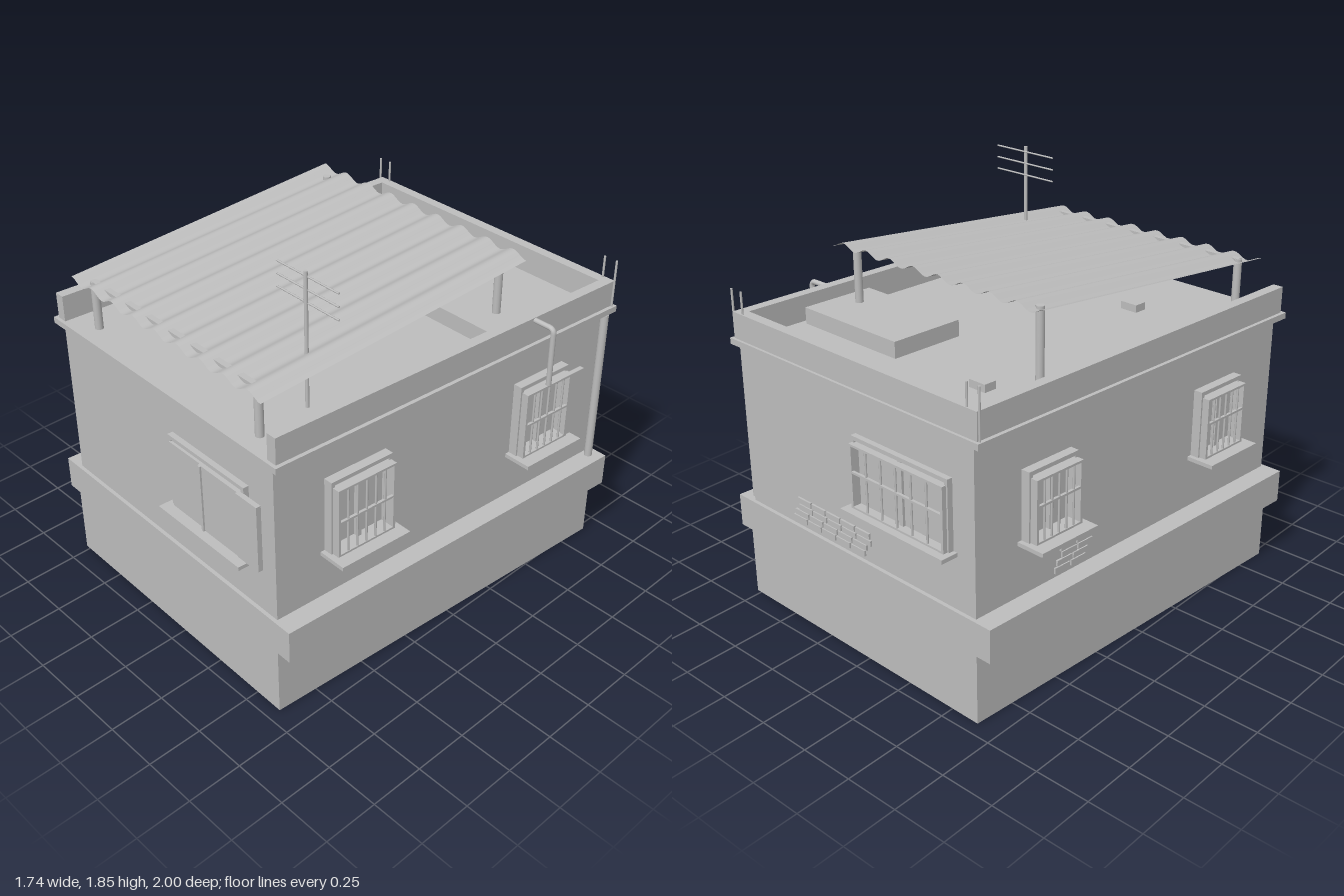
import * as THREE from 'three';

const concrete = new THREE.MeshStandardMaterial({ color: 0xbdbdbd });
concrete.name = 'concrete grey';
const sheet = concrete.clone(); // same colour, visible from both sides
sheet.name = 'sheet grey';
sheet.side = THREE.DoubleSide;

function add(parent, name, geometry, material = concrete) {
  const mesh = new THREE.Mesh(geometry, material);
  mesh.name = name;
  parent.add(mesh);
  return mesh;
}

// Box given by its limits on each axis
function box(parent, name, x0, x1, y0, y1, z0, z1) {
  const g = new THREE.BoxGeometry(x1 - x0, y1 - y0, z1 - z0);
  g.translate((x0 + x1) / 2, (y0 + y1) / 2, (z0 + z1) / 2);
  return add(parent, name, g);
}

// Upright round rod
function rod(parent, name, x, z, y0, y1, r, sides = 12) {
  const g = new THREE.CylinderGeometry(r, r, y1 - y0, sides);
  g.translate(x, (y0 + y1) / 2, z);
  return add(parent, name, g);
}

// Window facing +z with its wall at z = 0; d stretches the depth
function makeWindow(name, { w, y0, y1, d, bars = 0, shutter = 0 }) {
  const win = new THREE.Group();
  win.name = name;
  const h = w / 2, t = 0.018, f = 0.025 * d, g = 0.045 * d;
  box(win, 'sill', -h - 0.02, h + 0.02, y0 - 0.015, y0 + 0.003, -0.01, 0.08 * d);
  for (const s of [-1, 1]) {
    box(win, 'frameSide', s * (h - t / 2) - t / 2, s * (h - t / 2) + t / 2, y0, y1, -0.01, f);
  }
  box(win, 'frameTop', -h, h, y1 - t, y1, -0.01, f);
  box(win, 'pane', -h + t, h - t, y0, y1 - t, -0.01, 0.006);
  const top = y1 - 0.027, i = h - 0.014;
  if (bars) {
    // projecting grille
    for (const s of [-1, 1]) {
      box(win, 'grilleSide', s * i - 0.006, s * i + 0.006, y0, top, 0, g);
    }
    box(win, 'grilleTop', -i, i, top - 0.01, top, 0, g);
    box(win, 'grilleBase', -i, i, y0, y0 + 0.012, 0, g);
    box(win, 'grilleRail', -i, i, y0 + 0.162, y0 + 0.172, g - 0.012, g);
    for (let k = 1; k <= bars; k++) {
      rod(win, 'grilleBar', -i + (2 * i * k) / (bars + 1), g - 0.006, y0, top, 0.005, 8);
    }
    box(win, 'mullion', -0.01, 0.01, y0, y1 - t, 0, f * 0.7);
  } else {
    // two plain sliding sashes
    box(win, 'leftSash', -i, -0.012, y0, top, 0, g - 0.015);
    box(win, 'rightSash', -0.026, i, y0, top, 0, g - 0.008);
    box(win, 'sashRail', -0.018, -0.006, y0, top, 0, g);
  }
  if (shutter) box(win, 'shutter', h - 0.025, h + shutter, y0 + 0.01, top, g - 0.022, g);
  return win;
}

// Patch of exposed bricks facing +z
function makeBricks(name, width, rows, y0) {
  const patch = new THREE.Group();
  patch.name = name;
  const bw = 0.085, bh = 0.026;
  for (let r = 0; r < rows; r++) {
    const inset = [0.03, 0, 0.07, 0.02][r % 4];
    const shift = (r % 2) * bw / 2;
    for (let x = -width / 2 + inset + shift; x + bw <= width / 2 - inset / 2 + 0.03; x += bw + 0.008) {
      const y = y0 + r * (bh + 0.005);
      box(patch, 'brick', x, x + bw, y, y + bh, -0.005, 0.009);
    }
  }
  return patch;
}

export function createModel() {
  const house = new THREE.Group();
  house.name = 'house';

  // Walls, plinth and roof slab
  box(house, 'plinth', -0.708, 0.708, 0, 0.475, -0.922, 0.922);
  for (const s of [-1, 1]) {
    box(house, 'sideBand', s * 0.744 - 0.037, s * 0.744 + 0.037, 0.32, 0.475, -0.922, 0.922);
  }
  box(house, 'walls', -0.69, 0.69, 0.475, 1.222, -0.905, 0.905);
  box(house, 'roofSlab', -0.735, 0.735, 1.222, 1.25, -0.927, 0.927);

  // Parapet on three sides, open at the front
  for (const s of [-1, 1]) {
    box(house, 'sideParapet', s * 0.694 - 0.024, s * 0.694 + 0.024, 1.25, 1.37, -0.915, 0.912);
  }
  box(house, 'backParapet', -0.67, 0.67, 1.25, 1.37, -0.915, -0.868);
  for (const x of [-0.723, -0.66, 0.66, 0.723]) {
    rod(house, 'rebar', x, -0.907, 1.25, 1.47, 0.005, 8);
  }

  // Things standing on the roof
  box(house, 'roofBlock', 0.07, 0.64, 1.25, 1.325, -0.605, -0.255);
  box(house, 'smallBlock', -0.43, -0.345, 1.25, 1.285, -0.595, -0.535);
  box(house, 'smallBlock', -0.275, -0.19, 1.25, 1.285, 0.47, 0.53);

  // Corrugated canopy on four posts
  const canopy = new THREE.Group();
  canopy.name = 'canopy';
  house.add(canopy);
  const cover = new THREE.PlaneGeometry(1.225, 1.354, 102, 1).rotateX(-Math.PI / 2);
  cover.translate(0, 0, 0.213);
  const p = cover.attributes.position;
  for (let i = 0; i < p.count; i++) {
    const wave = 0.0135 * Math.cos(((p.getX(i) + 0.6125) / 1.225) * 8.5 * Math.PI * 2);
    p.setY(i, 1.47 + ((0.89 - p.getZ(i)) / 1.354) * 0.122 + wave);
  }
  cover.computeVertexNormals();
  add(canopy, 'corrugatedSheet', cover, sheet);
  for (const s of [-1, 1]) {
    rod(canopy, 'frontPost', s * 0.53, 0.835, 1.25, 1.475, 0.018);
    rod(canopy, 'backPost', s * 0.53, -0.4, 1.25, 1.588, 0.018);
  }
  box(canopy, 'frontBeam', -0.54, 0.54, 1.458, 1.477, 0.822, 0.848);

  // Aerial
  const aerial = new THREE.Group();
  aerial.name = 'aerial';
  house.add(aerial);
  rod(aerial, 'mast', 0.493, 0.577, 1.25, 1.845, 0.008);
  for (const y of [1.71, 1.765, 1.82]) {
    const g = new THREE.CylinderGeometry(0.004, 0.004, 0.346, 8).rotateZ(Math.PI / 2);
    add(aerial, 'aerialBar', g.translate(0.495, y, 0.572));
  }

  // Drainpipe and bent overflow pipe
  rod(house, 'drainpipe', 0.722, -0.87, 0.475, 1.222, 0.018);
  const bend = new THREE.CurvePath();
  const v = (x, y) => new THREE.Vector3(x, y, -0.427);
  bend.add(new THREE.LineCurve3(v(0.67, 1.357), v(0.795, 1.357)));
  bend.add(new THREE.QuadraticBezierCurve3(v(0.795, 1.357), v(0.817, 1.357), v(0.817, 1.335)));
  bend.add(new THREE.LineCurve3(v(0.817, 1.335), v(0.817, 1.09)));
  add(house, 'overflowPipe', new THREE.TubeGeometry(bend, 48, 0.012, 10), sheet);

  // Windows and brick patches, turned to face their walls
  const place = (part, x, z, turn) => {
    part.position.set(x, 0, z);
    part.rotation.y = turn;
    house.add(part);
  };
  const q = Math.PI / 2;
  place(makeWindow('frontWindow', { w: 0.48, y0: 0.705, y1: 1.056, d: 1, shutter: 0.1 }), 0.302, 0.905, 0);
  place(makeWindow('backWindow', { w: 0.545, y0: 0.73, y1: 1.05, d: 1, bars: 5 }), -0.302, -0.905, 2 * q);
  const side = { w: 0.31, y0: 0.702, y1: 1.056, d: 1.63, bars: 5 };
  place(makeWindow('rightFrontWindow', side), 0.69, 0.509, q);
  place(makeWindow('rightBackWindow', { ...side, w: 0.29, shutter: 0.063 }), 0.69, -0.509, q);
  const left = { w: 0.27, y0: 0.724, y1: 1.037, d: 1.63, bars: 5 };
  place(makeWindow('leftFrontWindow', left), -0.69, 0.5, -q);
  place(makeWindow('leftBackWindow', left), -0.69, -0.528, -q);
  place(makeBricks('backBricks', 0.56, 4, 0.495), 0.15, -0.905, 2 * q);
  place(makeBricks('leftBricks', 0.28, 4, 0.495), -0.69, -0.37, -q);

  // The plan is a slight parallelogram: bake the skew into every part
  const skew = new THREE.Matrix4().set(1, 0, -0.0733, 0, 0, 1, 0, 0, 0.026, 0, 1, 0, 0, 0, 0, 1);
  house.updateMatrixWorld(true);
  house.traverse((o) => {
    if (o.isMesh) o.geometry.applyMatrix4(o.matrixWorld).applyMatrix4(skew);
  });
  house.traverse((o) => {
    o.position.set(0, 0, 0);
    o.rotation.set(0, 0, 0);
  });
  return house;
}
